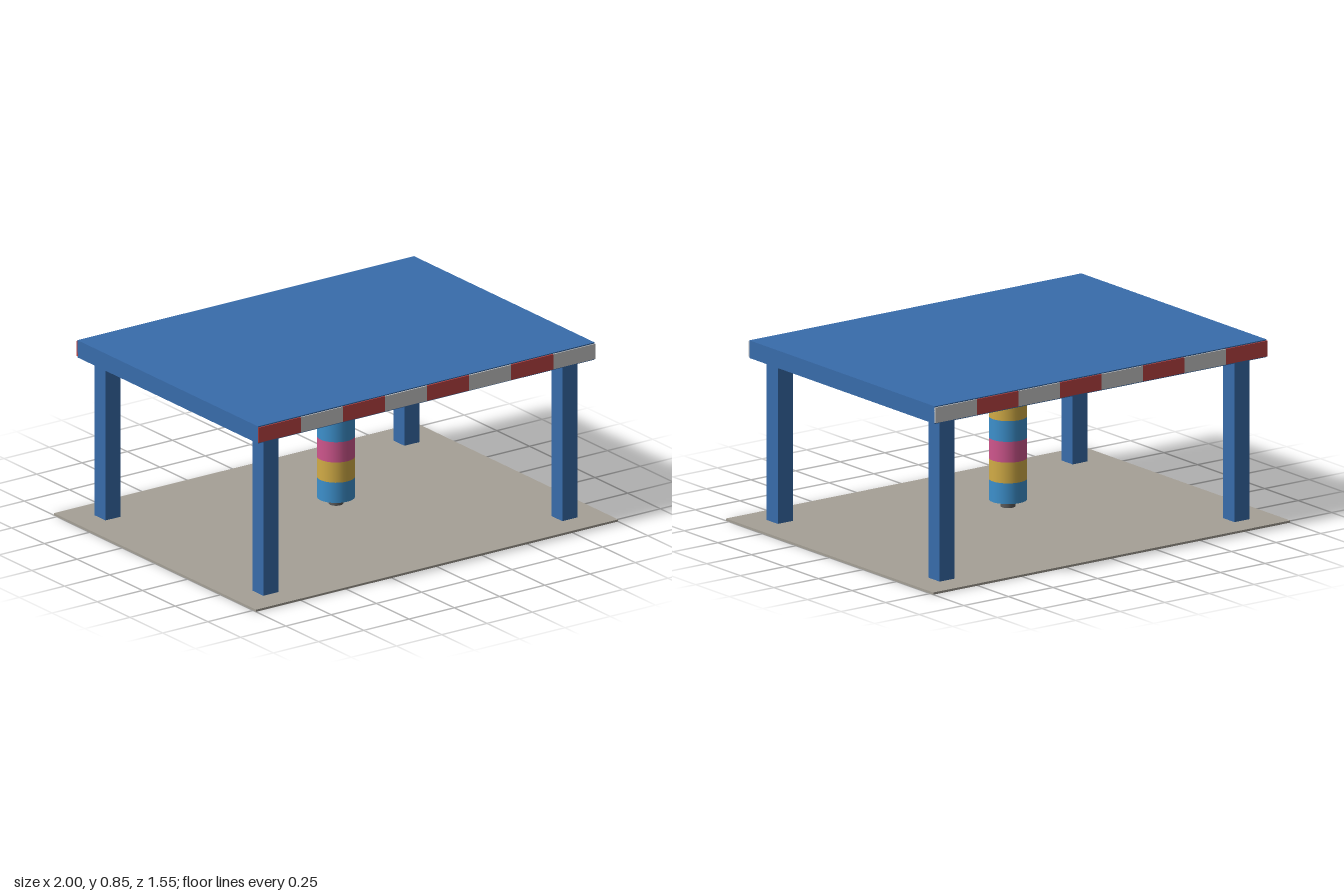
import * as THREE from 'three';

const mat = (color) => new THREE.MeshStandardMaterial({ color });

export function createModel() {
  const model = new THREE.Group();
  const blue = mat(0x386cab), concrete = mat(0xa5a096), red = mat(0xbf4444), white = mat(0xcccccc);
  const metal = mat(0x8a8a8e), dark = mat(0x5a5a5a);
  const bristles = [mat(0x3d90cc), mat(0xd2ac46), mat(0xcf568d)];

  const add = (name, geometry, material, x, y, z, parent = model) => {
    const mesh = new THREE.Mesh(geometry, material);
    mesh.name = name;
    mesh.position.set(x, y, z);
    parent.add(mesh);
    return mesh;
  };

  // Ground slab and flat roof
  add('groundSlab', new THREE.BoxGeometry(2, 0.01, 1.546), concrete, 0, 0.005, 0);
  add('roof', new THREE.BoxGeometry(1.86, 0.082, 1.38), blue, 0, 0.804, 0);

  // Four square posts
  const postGeometry = new THREE.BoxGeometry(0.084, 0.761, 0.084);
  for (const x of [-1, 1]) {
    for (const z of [-1, 1]) add('post', postGeometry, blue, x * 0.826, 0.3835, z * 0.603);
  }

  // Red and white warning panels along the front and back roof edges
  const count = 8, width = 1.86 / count;
  const panelGeometry = new THREE.BoxGeometry(width, 0.072, 0.012);
  for (const z of [-1, 1]) {
    const band = new THREE.Group();
    band.name = z > 0 ? 'frontWarningBand' : 'backWarningBand';
    for (let i = 0; i < count; i++) {
      add('warningPanel', panelGeometry, i % 2 ? white : red,
        -0.93 + (i + 0.5) * width, 0.804, z * 0.69, band);
    }
    model.add(band);
  }

  // Spray nozzles in three rows under the roof, flaring downwards
  const nozzles = new THREE.Group();
  nozzles.name = 'sprayNozzles';
  const nozzleGeometry = new THREE.CylinderGeometry(0.0105, 0.021, 0.038, 12);
  for (let row = -1; row <= 1; row++) {
    for (let col = -3; col <= 3; col++) {
      add('nozzle', nozzleGeometry, metal, col * 0.2067, 0.744, row * 0.26, nozzles);
    }
  }
  model.add(nozzles);

  // Hanging brush: a dark core with six coloured bristle bands
  const brush = new THREE.Group();
  brush.name = 'washBrush';
  add('brushCore', new THREE.CylinderGeometry(0.033, 0.033, 0.638, 20), dark, 0, 0.391, 0, brush);
  const bandHeight = 0.0965;
  const bandGeometry = new THREE.CylinderGeometry(0.086, 0.086, bandHeight, 28);
  for (let i = 0; i < 6; i++) {
    add('bristleBand', bandGeometry, bristles[i % 3], 0, 0.105 + (i + 0.5) * bandHeight, 0, brush);
  }
  model.add(brush);

  return model;
}
